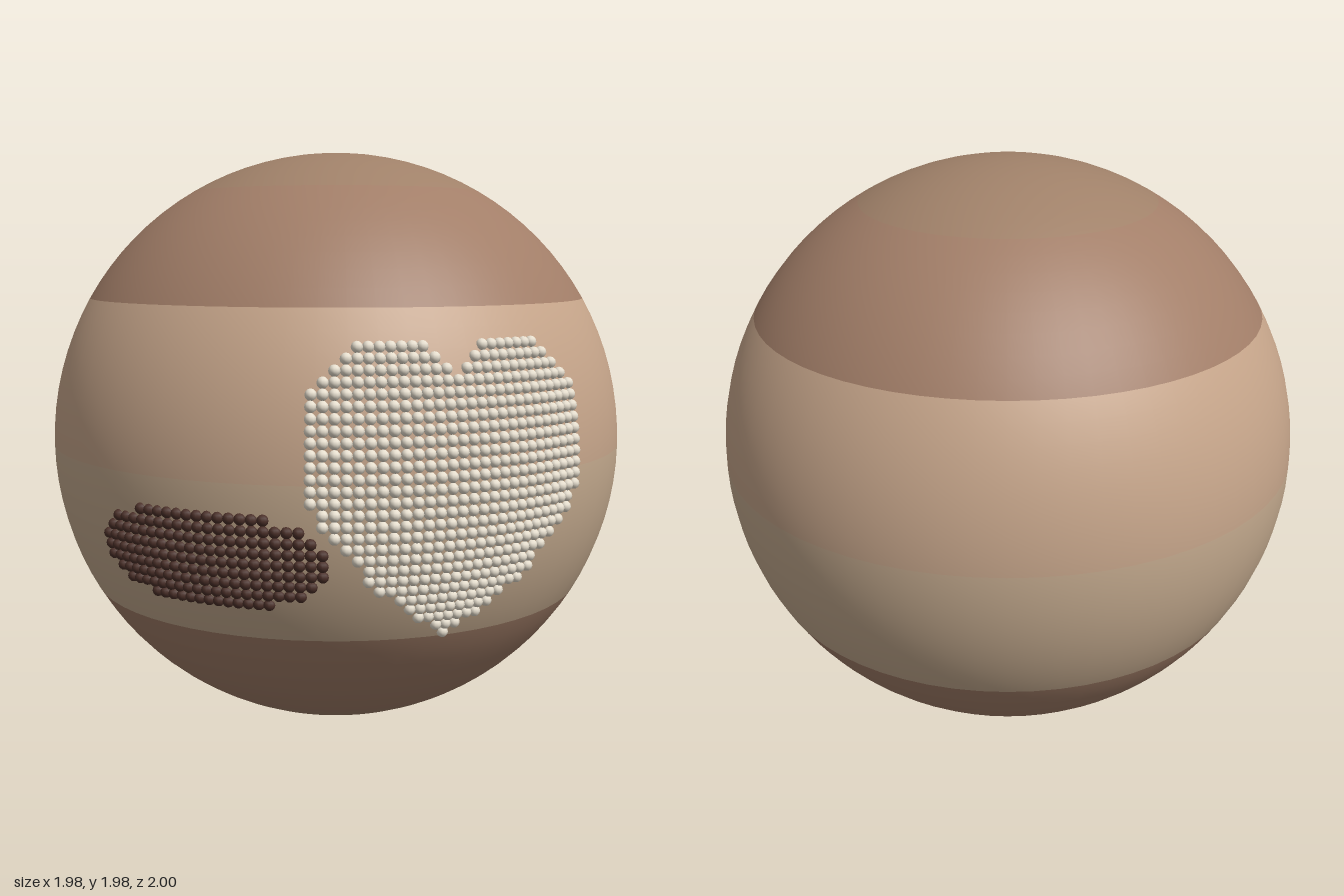
import * as THREE from 'three';
import { mergeGeometries } from 'three/addons/utils/BufferGeometryUtils.js';

const R = 0.992;
const STEP = 2; // degrees between neighbouring beads
const rad = THREE.MathUtils.degToRad;

function material(name, color) {
  const m = new THREE.MeshStandardMaterial({ color });
  m.name = name;
  return m;
}

// Point on the globe; longitude 0 faces +z
function onGlobe(lon, lat) {
  const a = rad(lon), b = rad(lat);
  return [R * Math.cos(b) * Math.sin(a), R * Math.sin(b), R * Math.cos(b) * Math.cos(a)];
}

// Raised patch of beads on a longitude/latitude grid, kept where halfWidth(v) allows
function beadPatch(name, mat, lon, lat, vMin, vMax, inside) {
  const bead = new THREE.SphereGeometry(0.018, 9, 6);
  const beads = [];
  for (let v = vMin; v <= vMax; v += STEP) {
    for (let u = -30; u <= 30; u += STEP) {
      if (inside(u, v)) beads.push(bead.clone().translate(...onGlobe(lon + u, lat + v)));
    }
  }
  const mesh = new THREE.Mesh(mergeGeometries(beads), mat);
  mesh.name = name;
  return mesh;
}

// Linear interpolation through [v, value] pairs
function along(points, v) {
  for (let i = 1; i < points.length; i++) {
    const [v0, a] = points[i - 1], [v1, b] = points[i];
    if (v <= v1) return a + (b - a) * (v - v0) / (v1 - v0);
  }
  return points[points.length - 1][1];
}

export function createModel() {
  const group = new THREE.Group();
  group.name = 'planet';

  const polar = material('polar brown', 0xa08169);
  const cap = material('reddish brown', 0xa27e68);
  const upper = material('warm tan', 0xc6a58a);
  const lower = material('pale tan', 0xc4aa8e);
  const cream = material('cream', 0xe8e0d0);
  const dark = material('dark brown', 0x4a2f28);

  // Six latitude bands of 30 degrees, from the north pole down
  const bands = [
    ['northPole', polar], ['northBand', cap], ['upperMiddleBand', upper],
    ['lowerMiddleBand', lower], ['southBand', cap], ['southPole', polar],
  ];
  bands.forEach(([name, mat], i) => {
    const geo = new THREE.SphereGeometry(R, 64, 8, 0, Math.PI * 2, i * Math.PI / 6, Math.PI / 6);
    const mesh = new THREE.Mesh(geo, mat);
    mesh.name = name;
    group.add(mesh);
  });

  // Heart-shaped plain: outer half-width by latitude, with a notch between the lobes
  const outline = [[-29, 1], [-19, 14.5], [-6, 25.5], [-3, 26.5], [16, 26.5], [18, 24.5], [23, 18.5]];
  const inHeart = (u, v) => {
    const a = Math.abs(u);
    return a <= along(outline, v) && v <= 18 + a * 1.1;
  };
  group.add(beadPatch('heartPlain', cream, 14, 0, -29, 23, inHeart));

  // Dark oval region
  const inOval = (u, v) => (u / 23) ** 2 + (v / 10) ** 2 <= 1;
  group.add(beadPatch('darkRegion', dark, -32, -14, -8, 8, inOval));

  group.position.set(0, 1, -0.008);
  const root = new THREE.Group();
  root.add(group);
  return root;
}
